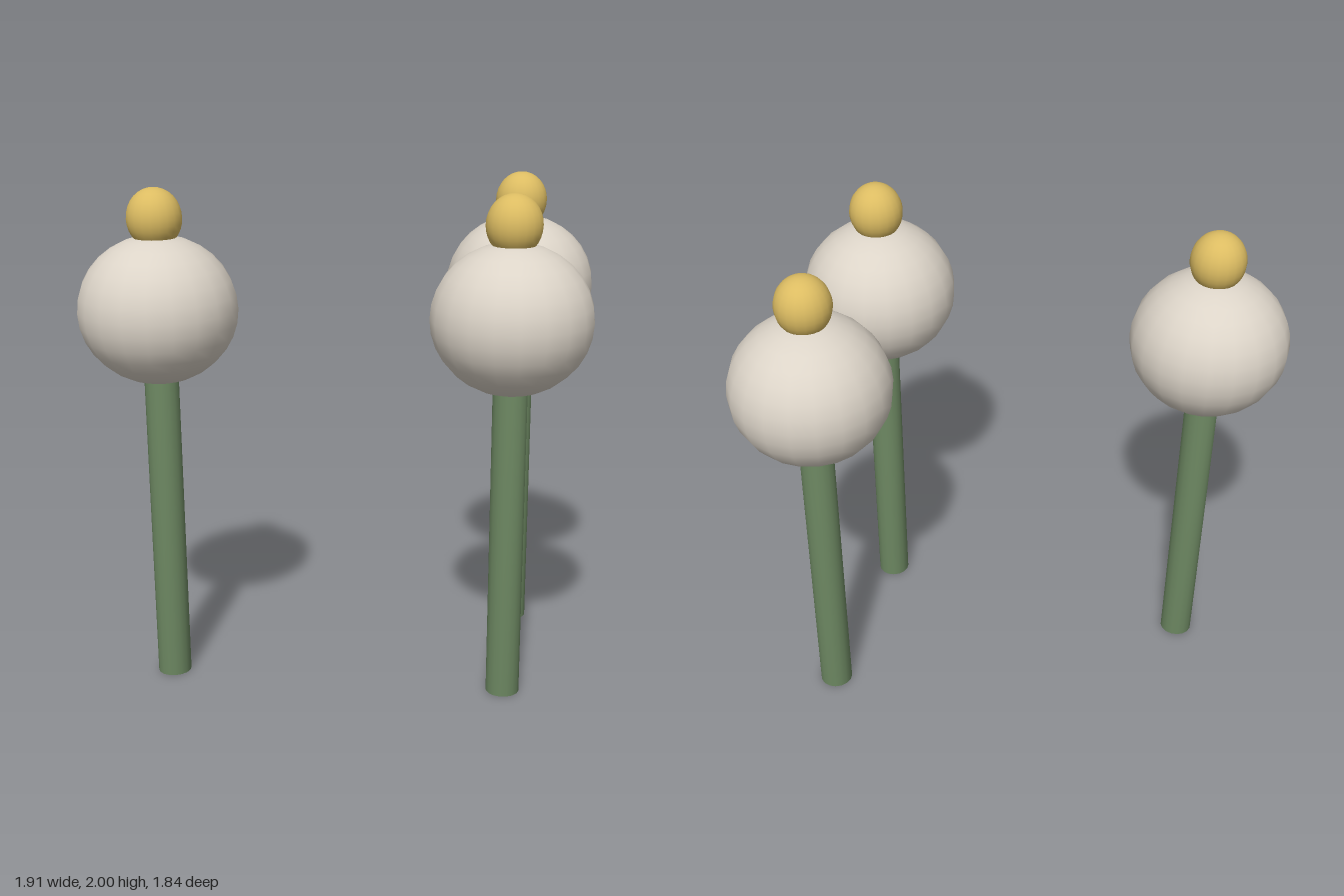
import * as THREE from 'three';
import { mergeVertices } from 'three/addons/utils/BufferGeometryUtils.js';

const material = (name, color) => {
  const m = new THREE.MeshStandardMaterial({ color });
  m.name = name;
  return m;
};

// Stem with normals shared between the side and the caps, so its ends shade softly
function softCylinder(radius, height, sides) {
  const g = new THREE.CylinderGeometry(radius, radius, height, sides);
  g.deleteAttribute('normal');
  g.deleteAttribute('uv');
  const merged = mergeVertices(g);
  merged.computeVertexNormals();
  return merged;
}

export function createModel() {
  const group = new THREE.Group();
  group.name = 'stalks';
  const green = material('stem green', 0x6d8862);
  const cream = material('head cream', 0xdcd4c8);
  const gold = material('bud gold', 0xdcbc62);

  const stemHeight = 1.3;
  const stemGeo = softCylinder(0.067, stemHeight, 16);
  const headGeo = new THREE.SphereGeometry(0.31, 20, 16).scale(1, 0.935, 1);
  const budGeo = new THREE.SphereGeometry(0.107, 20, 16).scale(1, 1.09, 1);

  const add = (parent, name, geometry, mat, y) => {
    const mesh = new THREE.Mesh(geometry, mat);
    mesh.name = name;
    mesh.position.y = y;
    parent.add(mesh);
  };

  // Three identical stalks, each a stem, a round head and a small bud on top
  [[-0.647, -0.61], [-0.022, 0.605], [0.645, 0.255]].forEach(([x, z], i) => {
    const stalk = new THREE.Group();
    stalk.name = `stalk${i + 1}`;
    stalk.position.set(x, 0, z);
    add(stalk, 'stem', stemGeo, green, stemHeight / 2);
    add(stalk, 'head', headGeo, cream, 1.53);
    add(stalk, 'bud', budGeo, gold, 1.883);
    group.add(stalk);
  });
  return group;
}
